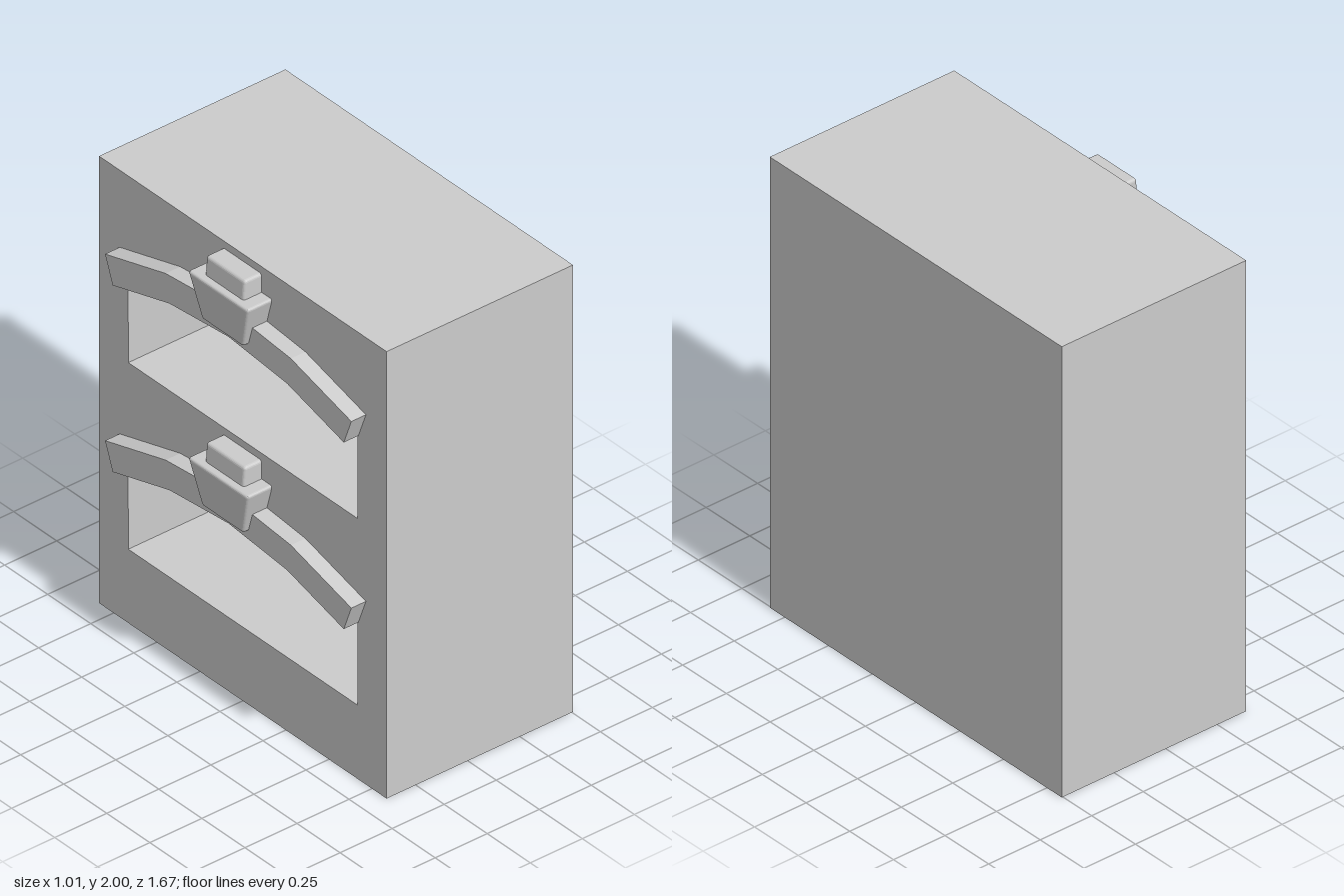
import * as THREE from 'three';
import { RoundedBoxGeometry } from 'three/addons/geometries/RoundedBoxGeometry.js';

const W = 1.67, H = 2, FRONT = 0.39, BACK = -0.505; // local: x = width, z = out of the niche face
const DEPTH = FRONT - BACK, MID = (FRONT + BACK) / 2;
const NICHE_BACK = -0.45;
const LEVELS = [0, 0.835];
const mat = new THREE.MeshStandardMaterial({ color: 0xcccccc });
const sheet = new THREE.MeshStandardMaterial({ color: 0xcccccc, side: THREE.DoubleSide });

function add(parent, name, geometry, material = mat) {
  const mesh = new THREE.Mesh(geometry, material);
  mesh.name = name;
  parent.add(mesh);
  return mesh;
}

// points of a shallow four-segment arc, from -x to +x
function arc(radius, half, centreY) {
  const pts = [];
  for (let i = 0; i <= 4; i++) {
    const a = half * (i / 2 - 1);
    pts.push(new THREE.Vector2(radius * Math.sin(a), centreY + radius * Math.cos(a)));
  }
  return pts;
}
const ARC_Y = -1.08, ARC_HALF = 0.36;
const archOutline = (dy) => [
  ...arc(2.03, ARC_HALF, ARC_Y + dy),
  ...arc(1.905, ARC_HALF, ARC_Y + dy).reverse(),
];
const nicheOutline = (dy) => [
  new THREE.Vector2(-0.665, 0.33 + dy),
  ...arc(1.92, 0.354, ARC_Y + dy).map((p) => new THREE.Vector2(p.x, p.y)),
  new THREE.Vector2(0.665, 0.33 + dy),
];

// open tube joining an outline at two depths
function tunnel(outline, z0, z1) {
  const pos = [];
  outline.forEach((a, i) => {
    const b = outline[(i + 1) % outline.length];
    pos.push(a.x, a.y, z0, b.x, b.y, z0, b.x, b.y, z1);
    pos.push(a.x, a.y, z0, b.x, b.y, z1, a.x, a.y, z1);
  });
  const g = new THREE.BufferGeometry();
  g.setAttribute('position', new THREE.Float32BufferAttribute(pos, 3));
  g.computeVertexNormals();
  return g;
}

// rounded block, narrower at the foot, its rear sunk to the wall
function taperedBlock(halfTop, halfFoot, y0, y1, outTop, outFoot) {
  const g = new RoundedBoxGeometry(1, y1 - y0, 0.3, 2, 0.012);
  const p = g.attributes.position;
  for (let i = 0; i < p.count; i++) {
    const t = p.getY(i) / (y1 - y0) + 0.5;
    const half = THREE.MathUtils.lerp(halfFoot, halfTop, t);
    const out = THREE.MathUtils.lerp(outFoot, outTop, t);
    const x = p.getX(i);
    // keep the rounded corner size while moving the sides inward
    p.setX(i, x - Math.sign(x) * (0.5 - half));
    const z = p.getZ(i);
    p.setZ(i, z > 0 ? z - 0.15 + out : FRONT - 0.005 + (z + 0.15) * 0.1);
    p.setY(i, p.getY(i) + (y0 + y1) / 2);
  }
  g.computeVertexNormals();
  return g;
}

export function createModel() {
  const model = new THREE.Group();
  model.name = 'nicheCabinet';
  const body = new THREE.Group();
  body.name = 'body';
  body.rotation.y = -Math.PI / 2;
  model.add(body);

  // outer shell, open underneath
  for (const s of [-1, 1]) {
    add(body, 'sideWall', new THREE.PlaneGeometry(DEPTH, H).rotateY(s * Math.PI / 2)
      .translate(s * W / 2, H / 2, MID), sheet);
  }
  add(body, 'rearWall', new THREE.PlaneGeometry(W, H).rotateY(Math.PI).translate(0, H / 2, BACK), sheet);
  add(body, 'roof', new THREE.PlaneGeometry(W, DEPTH).rotateX(-Math.PI / 2).translate(0, H, MID), sheet);

  // wall pierced by the arched niches
  const wall = new THREE.Shape([
    new THREE.Vector2(-W / 2, 0), new THREE.Vector2(W / 2, 0),
    new THREE.Vector2(W / 2, H), new THREE.Vector2(-W / 2, H),
  ]);
  for (const dy of LEVELS) wall.holes.push(new THREE.Path(nicheOutline(dy)));
  add(body, 'nicheWall', new THREE.ShapeGeometry(wall).translate(0, 0, FRONT), sheet);

  for (const dy of LEVELS) {
    // recess
    const outline = nicheOutline(dy);
    add(body, 'nicheLining', tunnel(outline, FRONT, NICHE_BACK), sheet);
    add(body, 'nicheBack', new THREE.ShapeGeometry(new THREE.Shape(outline))
      .translate(0, 0, NICHE_BACK), sheet);

    // arched moulding with keystone and cap
    add(body, 'archMoulding', new THREE.ExtrudeGeometry(new THREE.Shape(archOutline(dy)),
      { depth: 0.07, bevelEnabled: false }).translate(0, 0, FRONT));
    add(body, 'keystone', taperedBlock(0.175, 0.12, 0.85 + dy, 1.05 + dy, 0.508, 0.485)
      .translate(-0.004, 0, 0));
    add(body, 'keystoneCap', taperedBlock(0.113, 0.113, 1.03 + dy, 1.133 + dy, 0.47, 0.478)
      .translate(-0.004, 0, 0));
  }
  return model;
}
